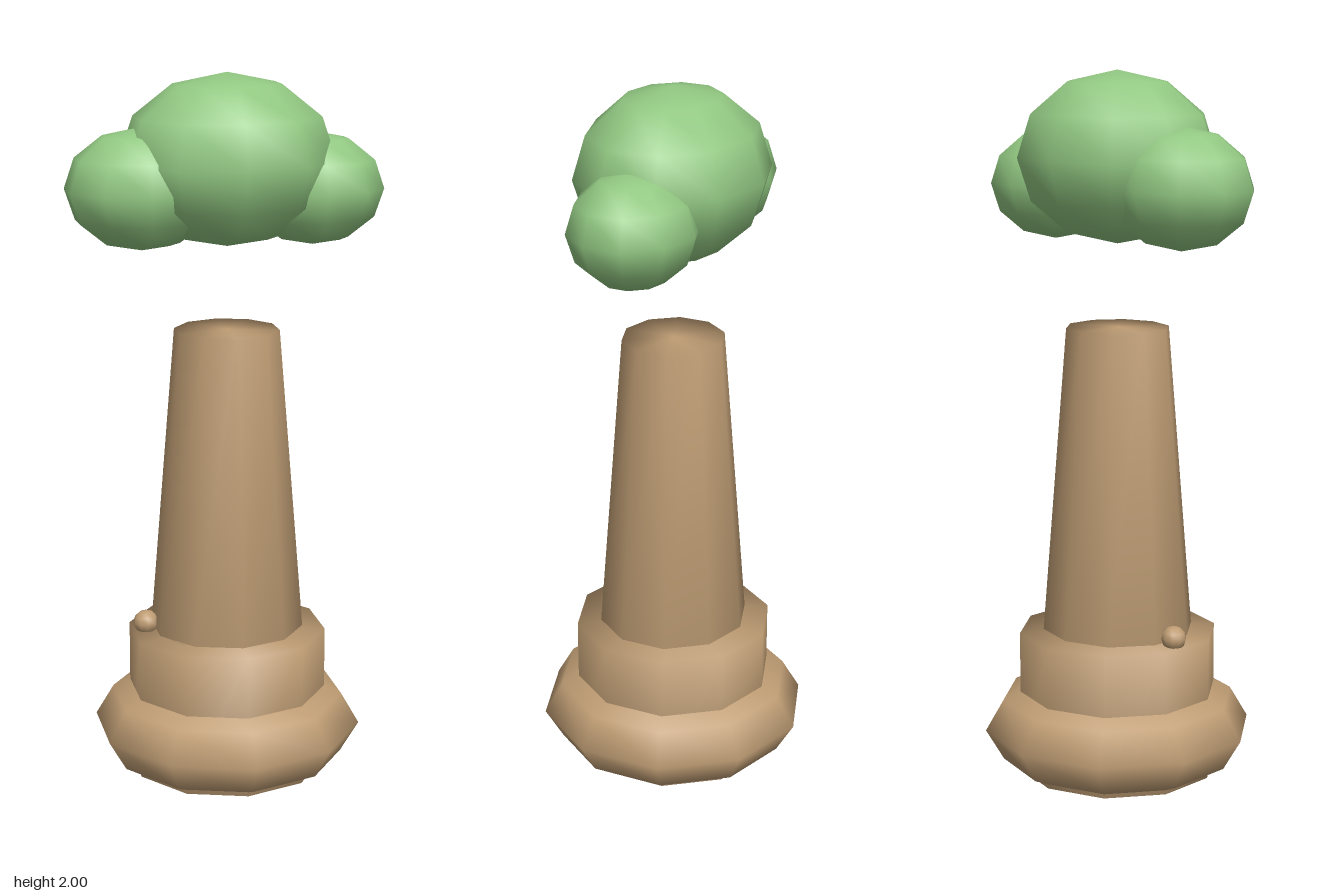
import * as THREE from 'three';
import { mergeVertices } from 'three/addons/utils/BufferGeometryUtils.js';

const SIDES = 10;

export function createModel() {
  const model = new THREE.Group();
  model.name = 'tree';
  const bark = new THREE.MeshStandardMaterial({ color: 0xbf9d74 });
  bark.name = 'bark brown';
  const leaf = new THREE.MeshStandardMaterial({ color: 0x92c882 });
  leaf.name = 'leaf green';

  const add = (name, geometry, material, position) => {
    const mesh = new THREE.Mesh(geometry, material);
    mesh.name = name;
    mesh.position.set(...position);
    model.add(mesh);
  };

  // Low-poly ball with corners on the z axis, stretched to its radii
  const ball = (name, material, position, rx, ry, rz) => {
    const g = new THREE.SphereGeometry(1, SIDES, 6);
    g.rotateY(Math.PI / 2);
    g.scale(rx, ry, rz);
    add(name, g, material, position);
  };

  // Capped drum whose normals run smoothly over the rims
  const drum = (name, y0, y1, rBottom, rTop, zScale) => {
    let g = new THREE.CylinderGeometry(rTop, rBottom, y1 - y0, SIDES, 1);
    g.scale(1, 1, zScale);
    g.deleteAttribute('uv');
    g.deleteAttribute('normal');
    g = mergeVertices(g);
    g.computeVertexNormals();
    add(name, g, bark, [0.003, (y0 + y1) / 2, -0.003]);
  };

  // Base, collar and trunk
  ball('base', bark, [0.003, 0.173, -0.003], 0.376, 0.173, 0.376);
  drum('collar', 0.052, 0.452, 0.277, 0.277, 1);
  drum('trunk', 0.46, 1.308, 0.214, 0.145, 0.97);

  // Small knots on the collar beside and under the trunk
  ball('knot', bark, [-0.225, 0.475, -0.02], 0.036, 0.034, 0.034);
  ball('smallKnot', bark, [-0.175, 0.468, -0.03], 0.02, 0.018, 0.02);
  ball('hiddenKnot', bark, [-0.11, 0.45, 0.02], 0.08, 0.02, 0.12);

  // Foliage
  ball('middleFoliage', leaf, [0.004, 1.768, -0.003], 0.295, 0.232, 0.256);
  ball('rightFoliage', leaf, [-0.229, 1.697, -0.003], 0.209, 0.164, 0.182);
  ball('leftFoliage', leaf, [0.241, 1.686, -0.003], 0.194, 0.153, 0.17);

  return model;
}
